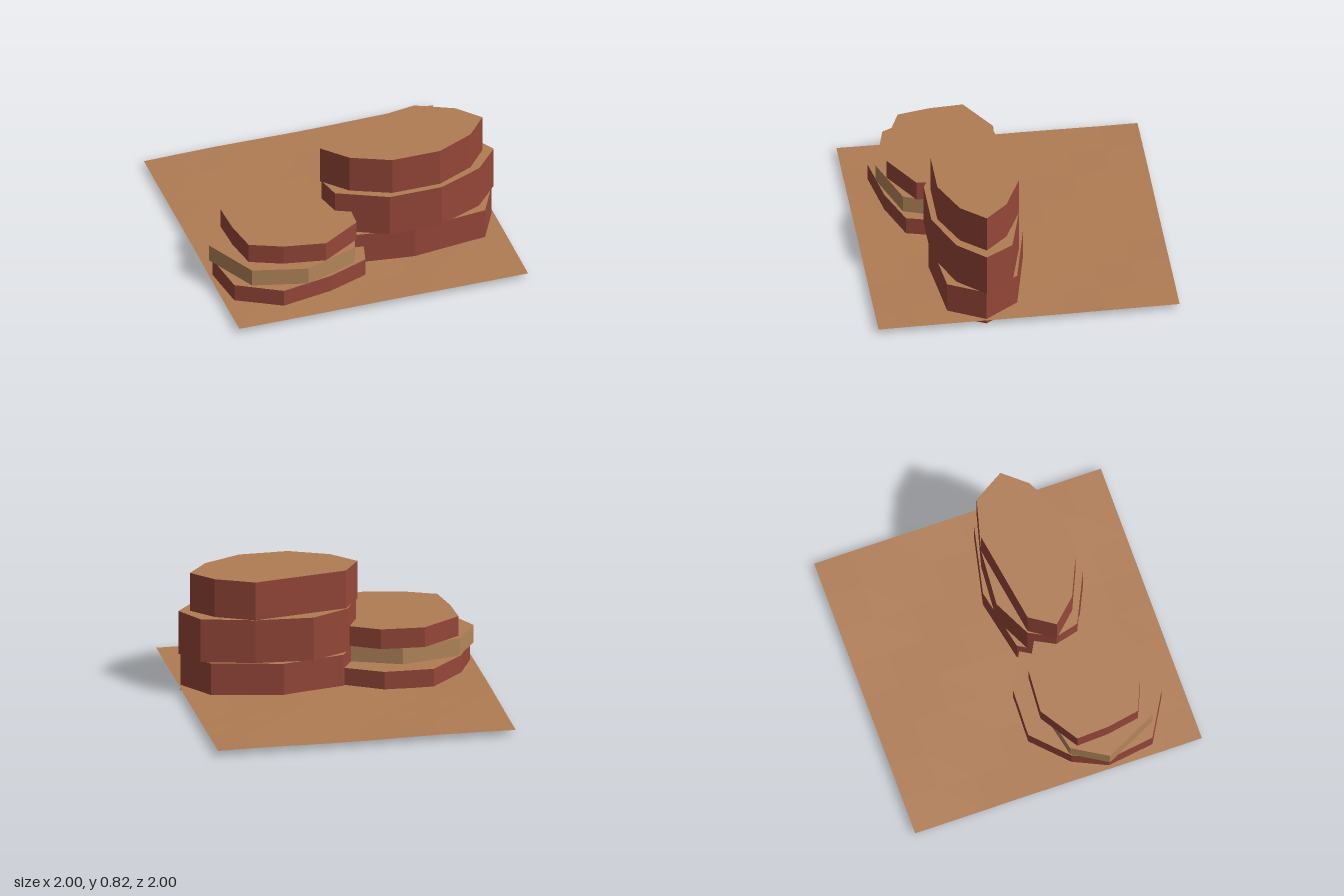
import * as THREE from 'three';

const flat = (name, color) => new THREE.MeshStandardMaterial({ name, color, flatShading: true, side: THREE.DoubleSide });

// Upright faceted wall around an outline of [x, z] points
function wallGeometry(outline, y0, y1) {
  const pos = [];
  outline.forEach(([ax, az], i) => {
    const [bx, bz] = outline[(i + 1) % outline.length];
    pos.push(ax, y0, az, ax, y1, az, bx, y1, bz);
    pos.push(ax, y0, az, bx, y1, bz, bx, y0, bz);
  });
  const geo = new THREE.BufferGeometry();
  geo.setAttribute('position', new THREE.Float32BufferAttribute(pos, 3));
  geo.computeVertexNormals();
  return geo;
}

// Flat top closing an outline
function capGeometry(outline, y) {
  const shape = new THREE.Shape(outline.map(([x, z]) => new THREE.Vector2(x, -z)));
  return new THREE.ShapeGeometry(shape).rotateX(-Math.PI / 2).translate(0, y, 0);
}

export function createModel() {
  const sand = flat('sand', 0xb07c54);
  const redRock = flat('redRock', 0x964739);
  const tanRock = flat('tanRock', 0xb5875a);
  const model = new THREE.Group();
  model.name = 'desertMesas';

  const addMesh = (parent, name, geo, mat) => {
    const mesh = new THREE.Mesh(geo, mat);
    mesh.name = name;
    parent.add(mesh);
  };

  // Gently uneven desert floor
  const ground = new THREE.PlaneGeometry(2, 2, 8, 8).rotateX(-Math.PI / 2);
  const p = ground.attributes.position;
  for (let i = 0; i < p.count; i++) {
    p.setY(i, 0.036 + 0.004 * Math.sin(p.getX(i) * 5 + 1) * Math.cos(p.getZ(i) * 4.3 + 0.6));
  }
  ground.computeVertexNormals();
  addMesh(model, 'ground', ground, sand);

  // Each layer: name, bottom, top, wall material, outline running +x, +z, -x, -z
  const mesas = {
    tallMesa: [
      ['lowerLayer', 0, 0.255, redRock, [[0.985, 0.28], [0.86, 0.525], [0.36, 0.58], [-0.07, 0.52],
        [-0.19, 0.26], [-0.06, 0.04], [0.36, -0.048], [0.83, 0.055]]],
      ['middleLayer', 0.255, 0.555, redRock, [[1, 0.28], [0.84, 0.46], [0.54, 0.585], [0.18, 0.585],
        [-0.15, 0.43], [-0.19, 0.27], [-0.1, 0.1], [0.155, -0.025], [0.54, 0.003], [0.89, 0.095]]],
      ['upperLayer', 0.555, 0.82, redRock, [[0.925, 0.27], [0.79, 0.43], [0.54, 0.545], [0.21, 0.545],
        [-0.05, 0.43], [-0.2, 0.27], [-0.09, 0.105], [0.54, 0.003], [0.79, 0.12]]],
    ],
    lowMesa: [
      ['lowerLayer', 0, 0.157, redRock, [[0.025, 0.5], [-0.02, 0.675], [-0.29, 0.78], [-0.64, 0.845],
        [-0.93, 0.68], [-0.975, 0.36], [-0.87, 0.135], [-0.64, -0.085], [-0.31, -0.075], [0.0, 0.09]]],
      ['middleLayer', 0.157, 0.277, tanRock, [[-0.02, 0.47], [-0.1, 0.685], [-0.46, 0.815], [-0.82, 0.72],
        [-1, 0.36], [-0.86, 0.13], [-0.46, 0.042], [-0.1, 0.18]]],
      ['upperLayer', 0.277, 0.415, redRock, [[-0.05, 0.46], [-0.055, 0.6], [-0.32, 0.762], [-0.6, 0.71],
        [-0.81, 0.62], [-0.85, 0.4], [-0.86, 0.18], [-0.6, 0.015], [-0.31, 0.035], [-0.1, 0.15]]],
    ],
  };

  for (const [mesaName, layers] of Object.entries(mesas)) {
    const mesa = new THREE.Group();
    mesa.name = mesaName;
    for (const [name, y0, y1, mat, outline] of layers) {
      addMesh(mesa, name + 'Wall', wallGeometry(outline, y0, y1), mat);
      addMesh(mesa, name + 'Top', capGeometry(outline, y1), sand);
    }
    model.add(mesa);
  }
  return model;
}
